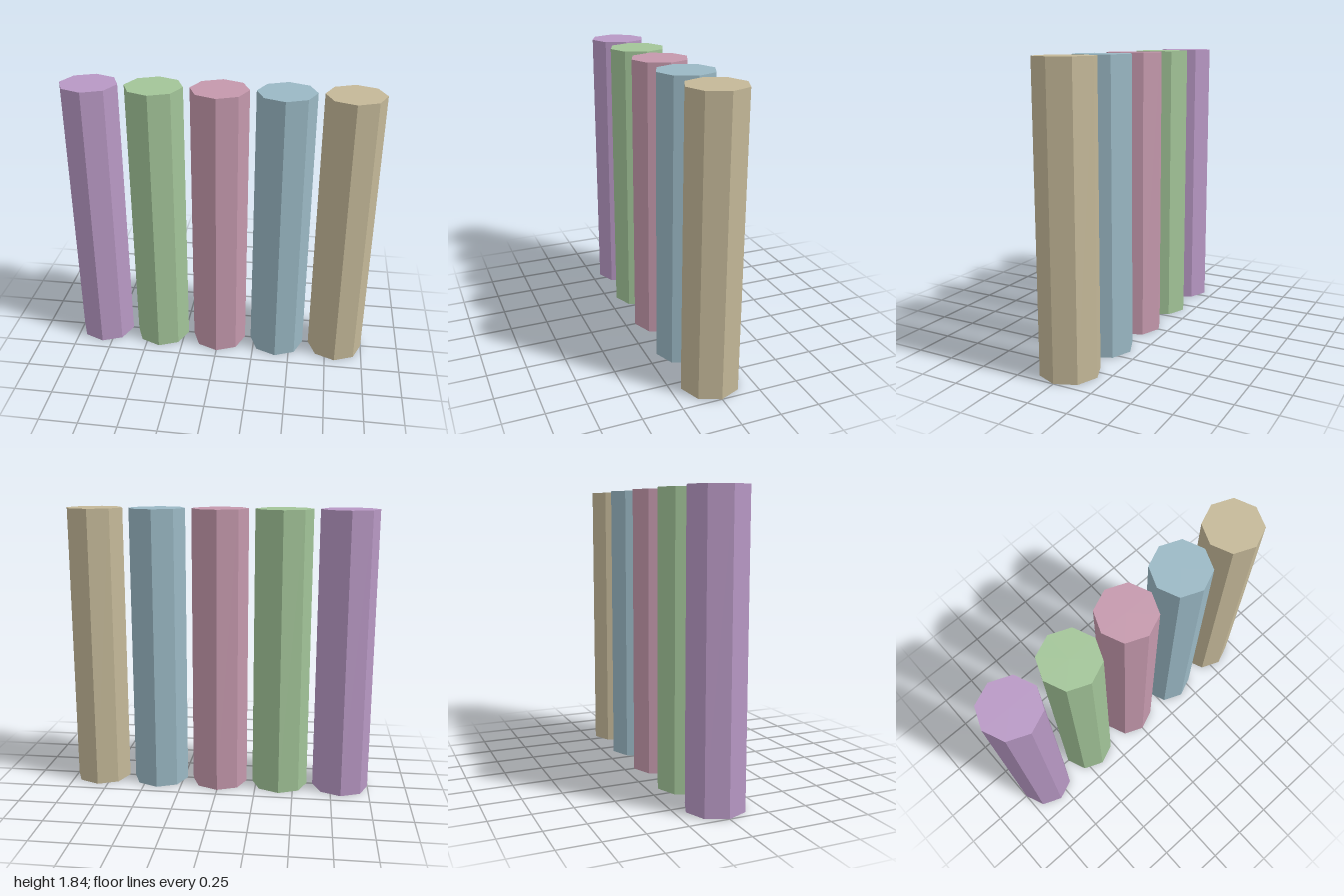
import * as THREE from 'three';

const RADIUS = 0.184;
const HEIGHT = 1.84;
const SPACING = 0.408;

// One pillar per entry, from -x to +x
const PILLARS = [
  ['purplePillar', 0xb898c4],
  ['greenPillar', 0xa2c498],
  ['pinkPillar', 0xc498ac],
  ['bluePillar', 0x9ab8c4],
  ['tanPillar', 0xc4b898],
];

export function createModel() {
  const group = new THREE.Group();
  group.name = 'pillarRow';

  // Eight-sided prism with corners on the x and z axes
  const prism = new THREE.CylinderGeometry(RADIUS, RADIUS, HEIGHT, 8);

  PILLARS.forEach(([name, color], i) => {
    const material = new THREE.MeshStandardMaterial({ color, flatShading: true });
    const pillar = new THREE.Mesh(prism, material);
    pillar.name = name;
    pillar.position.set((i - (PILLARS.length - 1) / 2) * SPACING, HEIGHT / 2, 0);
    group.add(pillar);
  });

  return group;
}
